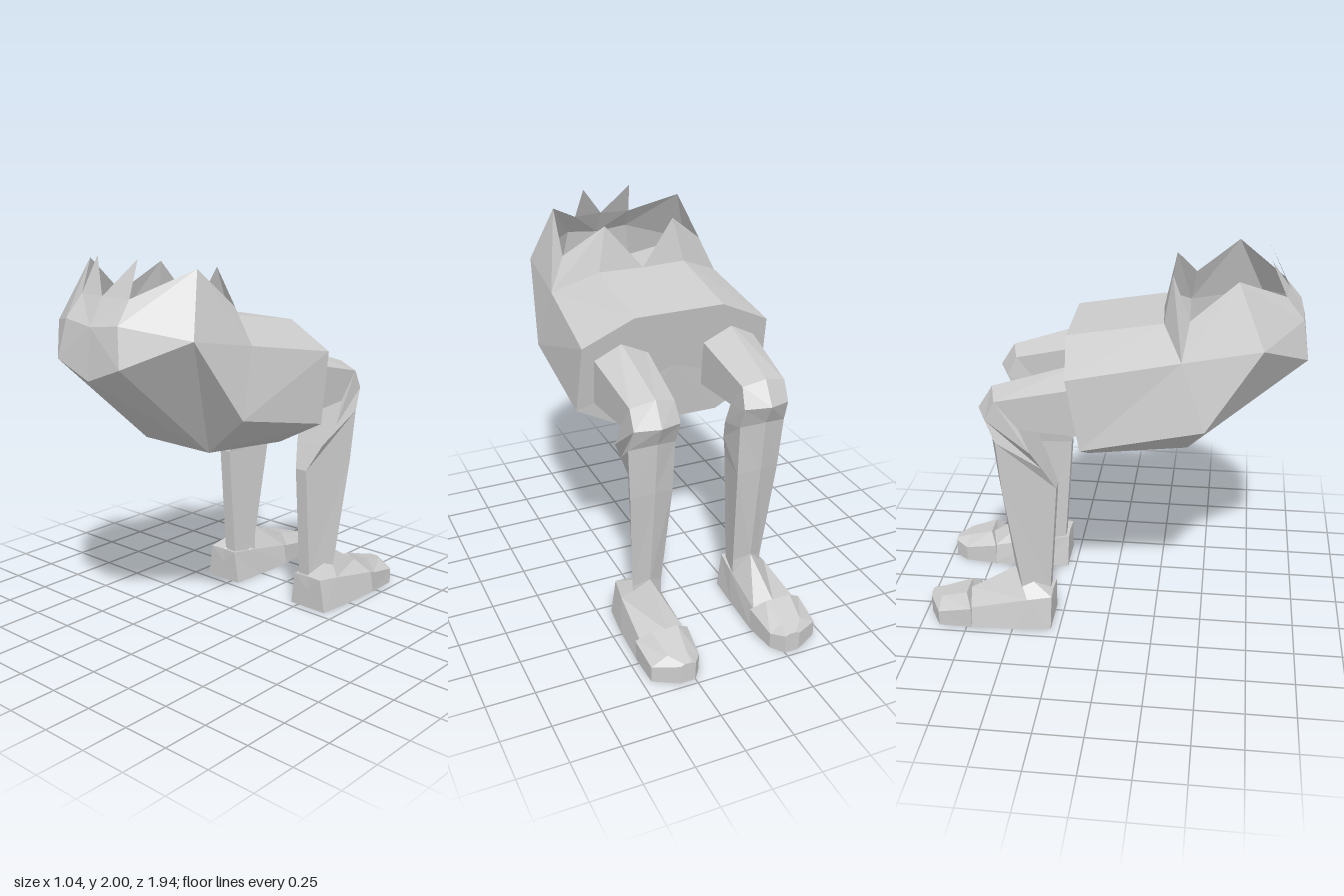
import * as THREE from 'three';

const grey = new THREE.MeshStandardMaterial({ color: 0xcccccc, flatShading: true, side: THREE.DoubleSide });
grey.name = 'plain grey';

// Triangles given as triples of points -> faceted mesh
function facets(name, tris) {
  const geo = new THREE.BufferGeometry();
  geo.setAttribute('position', new THREE.Float32BufferAttribute(tris.flat(2), 3));
  geo.computeVertexNormals();
  const mesh = new THREE.Mesh(geo, grey);
  mesh.name = name;
  return mesh;
}

const vec = (p) => new THREE.Vector3(...p);
const mirror = ([x, y, z]) => [-x, y, z];

// Closed solid through cross-sections, capped at both ends and turned outward
function loft(name, rings) {
  const n = rings[0].length;
  const tris = [];
  for (let s = 0; s + 1 < rings.length; s++) {
    const a = rings[s], b = rings[s + 1];
    for (let i = 0; i < n; i++) {
      const j = (i + 1) % n;
      tris.push([a[i], a[j], b[j]], [a[i], b[j], b[i]]);
    }
  }
  const cap = (ring, flip) => {
    const mid = [0, 1, 2].map((k) => ring.reduce((sum, p) => sum + p[k], 0) / n);
    ring.forEach((p, i) => {
      const q = ring[(i + 1) % n];
      tris.push(flip ? [mid, q, p] : [mid, p, q]);
    });
  };
  cap(rings[0], true);
  cap(rings[rings.length - 1], false);
  const volume = tris.reduce((sum, [a, b, c]) => sum + vec(a).dot(vec(b).cross(vec(c))), 0);
  return facets(name, volume < 0 ? tris.map(([a, b, c]) => [a, c, b]) : tris);
}

// Symmetric ring from its +x half
const fullRing = (half) => [...half, ...half.map(mirror).reverse()];

// Corner points shared by the torso and the open shell (+x half)
const T = [0.24, 1.70, 0.27], K = [0.47, 1.59, 0.37], E = [0.52, 1.26, 0.49], D = [0.22, 1.03, 0.40];

function buildTorso() {
  return loft('torso', [
    fullRing([[0.24, 1.62, -0.21], [0.505, 1.49, -0.18], [0.52, 1.13, -0.11], [0.26, 0.99, -0.10]]),
    fullRing([T, K, E, D]),
  ]);
}

// Hollow shell with a jagged rim, open at the top
function buildShell() {
  const A = [0.21, 1.53, 0.97], B = [0, 1.45, 0.97], C = [0.46, 1.66, 0.75];
  const G = [0.175, 1.72, 0.94], H = [0, 1.70, 0.95];
  const rearNotch = [0, 1.70, 0.255], rearPeak = [0.19, 1.93, 0.305], sideNotch = [0.39, 1.77, 0.40];
  const sidePeak = [0.36, 1.96, 0.62], frontDip = [0.16, 1.83, 0.85];
  const frontPeak = [0.135, 2.0, 0.77], frontNotch = [0, 1.83, 0.87];
  const half = [
    // back wall
    [rearNotch, T, rearPeak], [T, K, rearPeak], [K, sideNotch, rearPeak],
    // side wall
    [K, sideNotch, sidePeak], [K, sidePeak, C], [K, C, E],
    // sloping underside
    [E, C, D], [C, A, D], [A, B, D], [B, D, [0, 1.03, 0.40]],
    // front wall
    [B, A, H], [A, G, H], [A, C, G], [C, sidePeak, G], [G, sidePeak, frontDip],
    [H, G, frontDip], [H, frontDip, frontNotch], [frontDip, frontPeak, frontNotch],
  ];
  const core = new THREE.Vector3(0, 1.45, 0.6);
  const outward = ([a, b, c]) => {
    const normal = vec(b).sub(vec(a)).cross(vec(c).sub(vec(a)));
    return normal.dot(vec(a).sub(core)) < 0 ? [a, c, b] : [a, b, c];
  };
  return facets('jaggedShell', [...half, ...half.map((t) => t.map(mirror))].map(outward));
}

// Thigh, knee, shin: ring order is ridge, outer front, outer back, inner back, inner front
const LEG = [
  [[0.30, 1.50, -0.13], [0.44, 1.42, -0.13], [0.43, 1.16, -0.09], [0.16, 1.16, -0.09], [0.15, 1.42, -0.13]],
  [[0.29, 1.355, -0.58], [0.41, 1.32, -0.55], [0.41, 1.175, -0.43], [0.18, 1.175, -0.43], [0.18, 1.32, -0.55]],
  [[0.29, 1.235, -0.655], [0.41, 1.22, -0.60], [0.42, 1.05, -0.375], [0.18, 1.05, -0.375], [0.17, 1.22, -0.60]],
  [[0.29, 1.13, -0.60], [0.42, 1.10, -0.55], [0.37, 0.94, -0.325], [0.20, 0.94, -0.325], [0.175, 1.10, -0.55]],
  [[0.29, 0.85, -0.57], [0.405, 0.82, -0.53], [0.31, 0.80, -0.265], [0.24, 0.80, -0.265], [0.18, 0.82, -0.53]],
  [[0.29, 0.30, -0.50], [0.37, 0.25, -0.455], [0.31, 0.19, -0.31], [0.24, 0.19, -0.31], [0.21, 0.25, -0.455]],
  [[0.29, 0.12, -0.50], [0.37, 0.12, -0.455], [0.31, 0.12, -0.31], [0.24, 0.12, -0.31], [0.21, 0.12, -0.455]],
];

// Heel and instep: bottom inner, bottom outer, top outer, ridge, top inner
const FOOT = [
  [[0.20, 0, -0.295], [0.43, 0, -0.295], [0.40, 0.185, -0.29], [0.31, 0.185, -0.295], [0.225, 0.185, -0.29]],
  [[0.19, 0, -0.48], [0.45, 0, -0.48], [0.42, 0.17, -0.42], [0.29, 0.30, -0.50], [0.21, 0.17, -0.42]],
  [[0.18, 0, -0.74], [0.46, 0, -0.74], [0.44, 0.115, -0.72], [0.30, 0.15, -0.75], [0.20, 0.115, -0.72]],
];

// Toe cap
const TOE = [
  [[0.18, 0, -0.72], [0.46, 0, -0.72], [0.465, 0.12, -0.72], [0.39, 0.175, -0.755], [0.25, 0.175, -0.755], [0.18, 0.12, -0.72]],
  [[0.20, 0, -0.90], [0.455, 0, -0.90], [0.455, 0.085, -0.90], [0.37, 0.13, -0.90], [0.27, 0.13, -0.90], [0.20, 0.085, -0.90]],
  [[0.25, 0, -0.97], [0.33, 0, -0.97], [0.33, 0.10, -0.97], [0.31, 0.11, -0.97], [0.27, 0.11, -0.97], [0.25, 0.10, -0.97]],
];

function buildLeg(side) {
  const leg = new THREE.Group();
  leg.name = side > 0 ? 'leftLeg' : 'rightLeg';
  const place = (rings) => (side > 0 ? rings : rings.map((r) => r.map(mirror)));
  leg.add(loft('thighAndShin', place(LEG)), loft('foot', place(FOOT)), loft('toeCap', place(TOE)));
  return leg;
}

export function createModel() {
  const model = new THREE.Group();
  model.name = 'walkingLegs';
  model.add(buildTorso(), buildShell(), buildLeg(1), buildLeg(-1));
  return model;
}
